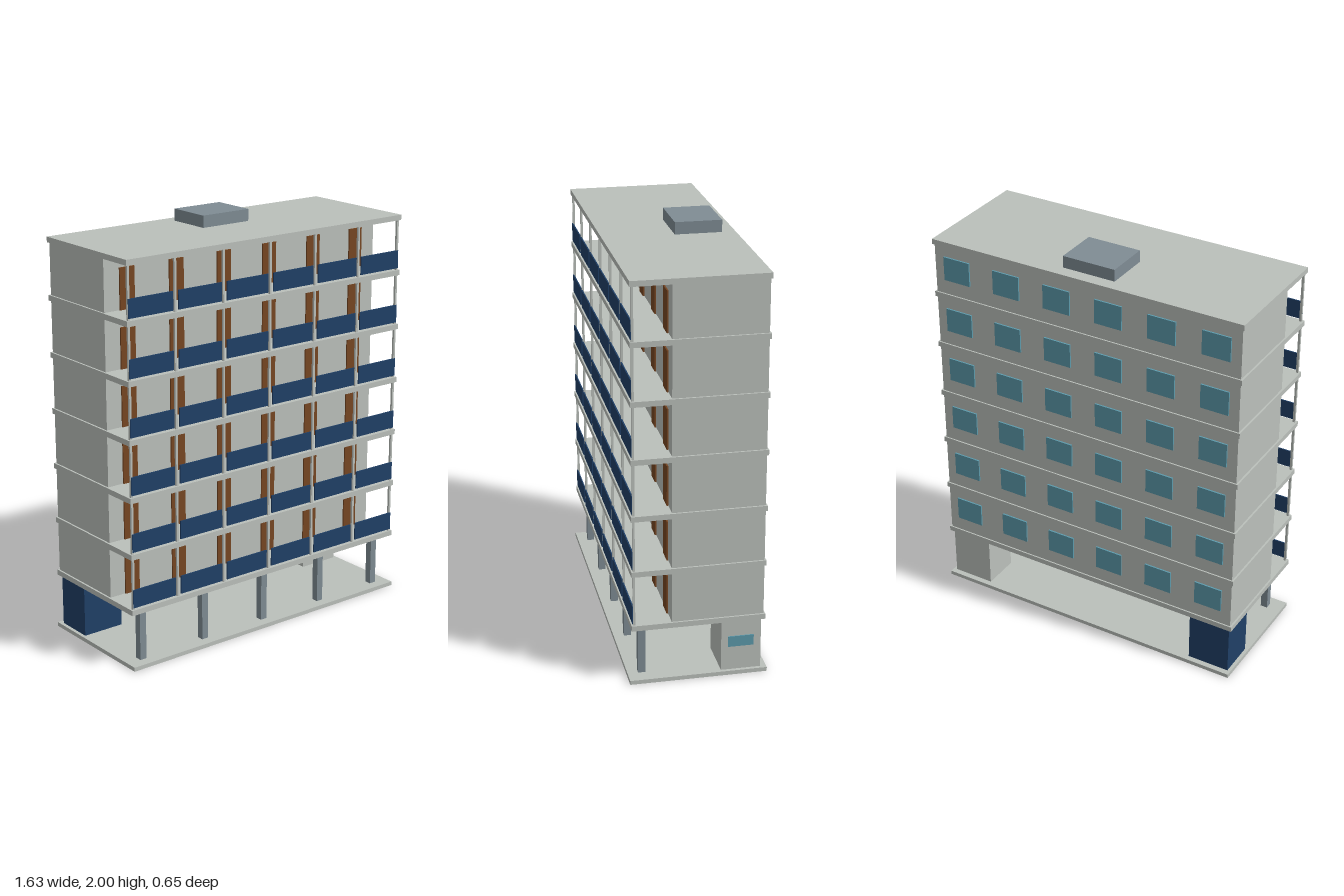
import * as THREE from 'three';

const material = (name, color) => Object.assign(new THREE.MeshStandardMaterial({ color }), { name });

export function createModel() {
  const concrete = material('concrete', 0xbbc0bb);
  const steel = material('steel grey', 0x7f8c94);
  const navy = material('navy blue', 0x204067);
  const wood = material('door brown', 0x774622);
  const glass = material('teal glass', 0x5d9aab);

  const model = new THREE.Group();
  model.name = 'apartmentBlock';

  // Box given by its min and max corner on each axis
  const box = (parent, name, mat, [x0, x1], [y0, y1], [z0, z1]) => {
    const mesh = new THREE.Mesh(new THREE.BoxGeometry(x1 - x0, y1 - y0, z1 - z0), mat);
    mesh.position.set((x0 + x1) / 2, (y0 + y1) / 2, (z0 + z1) / 2);
    mesh.name = name;
    parent.add(mesh);
    return mesh;
  };
  const around = (c, size) => [c - size / 2, c + size / 2];

  const FLOORS = 6, BAYS = 6;
  const HALF = 0.815;                 // half length of the slabs
  const FIRST = 0.302, PITCH = 0.2733; // first slab top, storey height
  const SLAB = 0.026;
  const BAY = 0.2735;
  const slabZ = [-0.312, 0.316];

  // Ground level: base plate, front columns, two enclosed rooms
  const ground = new THREE.Group();
  ground.name = 'groundLevel';
  model.add(ground);
  box(ground, 'basePlate', concrete, [-HALF, HALF], [0, 0.02], [-0.325, 0.325]);
  for (let i = -2; i <= 2; i++) {
    box(ground, 'column', steel, around(i * 0.364, 0.035), [0.02, FIRST - SLAB], around(0.257, 0.035));
  }
  const roomY = [0.02, FIRST - SLAB], roomZ = [-0.297, -0.108];
  box(ground, 'entranceRoom', concrete, [0.585, 0.798], roomY, roomZ);
  box(ground, 'entranceWindow', glass, [0.797, 0.803], [0.14, 0.193], [-0.262, -0.14]);
  box(ground, 'storeRoom', navy, [-0.798, -0.585], roomY, roomZ);

  // Storeys: slab, enclosed flats, balconies, doors and rear windows
  for (let f = 0; f < FLOORS; f++) {
    const y = FIRST + f * PITCH;
    const ceiling = y + PITCH - SLAB;
    const storey = new THREE.Group();
    storey.name = `storey${f + 1}`;
    model.add(storey);

    box(storey, 'floorSlab', concrete, [-HALF, HALF], [y - SLAB, y], slabZ);
    box(storey, 'flats', concrete, [-0.806, 0.806], [y, ceiling], [-0.305, 0.128]);

    for (let i = 0; i < BAYS; i++) {
      const x = (i - (BAYS - 1) / 2) * BAY;
      box(storey, 'balconyPanel', navy, around(x, 0.243), [y + 0.009, y + 0.098], [0.306, 0.312]);
      box(storey, 'balconyDoor', wood, around(x, 0.08), [y, y + 0.194], [0.127, 0.135]);
      box(storey, 'rearWindow', glass, around(x, 0.142), [y + 0.075, y + 0.195], [-0.313, -0.304]);
    }
    for (let i = 0; i <= BAYS; i++) {
      const x = THREE.MathUtils.clamp((i - BAYS / 2) * BAY, -0.801, 0.801);
      box(storey, 'balconyPost', concrete, around(x, 0.011), [y, ceiling], [0.298, 0.309]);
    }
  }

  // Roof slab and plant housing
  const roofY = FIRST + FLOORS * PITCH;
  box(model, 'roofSlab', concrete, [-HALF, HALF], [roofY - SLAB, roofY], slabZ);
  box(model, 'roofHousing', steel, [-0.135, 0.135], [roofY, 2], [-0.248, -0.024]);

  return model;
}
